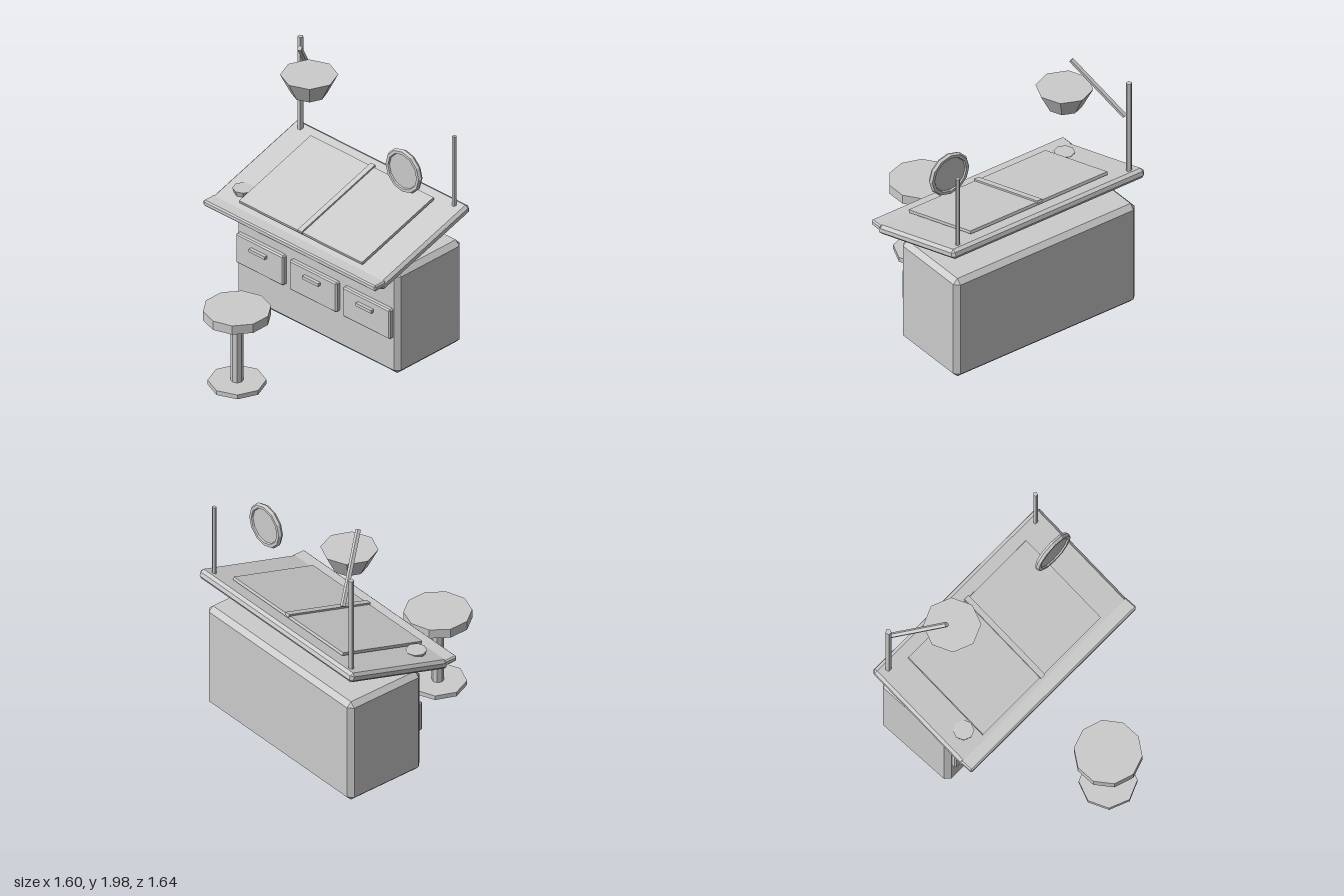
import * as THREE from 'three';
import { ConvexGeometry } from 'three/addons/geometries/ConvexGeometry.js';

const TILT = 0.3;

export function createModel() {
  const model = new THREE.Group();
  model.name = 'draftingDesk';
  const grey = new THREE.MeshStandardMaterial({ color: 0xcccccc, flatShading: true });

  function add(name, geometry, x, y, z, parent = model) {
    const mesh = new THREE.Mesh(geometry, grey);
    mesh.name = name;
    mesh.position.set(x, y, z);
    parent.add(mesh);
    return mesh;
  }

  // Box with every edge chamfered by b
  function chamferBox(w, h, d, b) {
    const points = [];
    for (const sx of [-1, 1]) for (const sy of [-1, 1]) for (const sz of [-1, 1]) {
      for (let axis = 0; axis < 3; axis++) {
        const [x, y, z] = [w, h, d].map((size, i) => size / 2 - (i === axis ? 0 : b));
        points.push(new THREE.Vector3(sx * x, sy * y, sz * z));
      }
    }
    return new ConvexGeometry(points);
  }

  // Faceted cylinder between two heights, with a vertex pointing backwards
  function column(name, rTop, rBottom, y0, y1, sides, x, z, parent) {
    const geometry = new THREE.CylinderGeometry(rTop, rBottom, y1 - y0, sides);
    geometry.rotateY(Math.PI);
    return add(name, geometry, x, (y0 + y1) / 2, z, parent);
  }

  // Cabinet with three drawers
  add('cabinet', chamferBox(1.51, 0.795, 0.625, 0.035), 0, 0.4675, -0.4775);
  for (const x of [-0.495, 0, 0.495]) {
    const drawer = new THREE.Group();
    drawer.name = 'drawer';
    drawer.position.set(x, 0.467, -0.155);
    model.add(drawer);
    add('drawerFront', chamferBox(0.44, 0.23, 0.05, 0.01), 0, 0, 0, drawer);
    add('drawerHandle', new THREE.BoxGeometry(0.146, 0.024, 0.04), 0, 0.051, 0.03, drawer);
  }

  // Sloping top with drawing sheet, centre strip and front ledge
  const top = add('deskTop', chamferBox(1.6, 0.07, 0.88, 0.02), 0, 0.988, -0.395);
  const sheet = add('drawingSheet', new THREE.BoxGeometry(1.14, 0.022, 0.715), 0, 1.04, -0.36);
  const strip = add('centreStrip', new THREE.BoxGeometry(0.04, 0.02, 0.735), 0, 1.054, -0.359);
  for (const part of [top, sheet, strip]) part.rotation.x = TILT;
  add('frontLedge', chamferBox(1.6, 0.044, 0.105, 0.01), 0, 0.879, 0.043);
  column('cup', 0.072, 0.055, 0.915, 0.966, 8, -0.642, -0.127);

  // Posts
  column('lampPost', 0.021, 0.021, 1.05, 1.845, 5, -0.713, -0.748);
  column('mirrorPost', 0.016, 0.016, 1.05, 1.67, 5, 0.713, -0.75);

  // Lamp arm
  const from = new THREE.Vector3(-0.66, 1.615, -0.775);
  const to = new THREE.Vector3(-0.447, 1.987, -0.465);
  const along = to.clone().sub(from);
  const mid = from.clone().add(to).multiplyScalar(0.5);
  const arm = add('lampArm', new THREE.CylinderGeometry(0.019, 0.019, along.length(), 5), mid.x, mid.y, mid.z);
  arm.quaternion.setFromUnitVectors(new THREE.Vector3(0, 1, 0), along.normalize());

  // Lamp shade and bulb
  column('lampShade', 0.194, 0.12, 1.66, 1.805, 8, -0.375, -0.483);
  add('bulb', new THREE.SphereGeometry(0.063, 8, 4), -0.375, 1.66, -0.483);

  // Round mirror
  const mirror = new THREE.Group();
  mirror.name = 'mirror';
  mirror.position.set(0.55, 1.467, -0.437);
  model.add(mirror);
  add('mirrorRim', new THREE.TorusGeometry(0.143, 0.021, 6, 12), 0, 0, 0, mirror);
  const glass = new THREE.CylinderGeometry(0.13, 0.13, 0.016, 12);
  add('mirrorGlass', glass.rotateX(Math.PI / 2), 0, 0, 0, mirror);

  // Stool
  const stool = new THREE.Group();
  stool.name = 'stool';
  stool.position.z = 0.59;
  model.add(stool);
  column('seat', 0.23, 0.23, 0.543, 0.611, 10, 0, 0, stool);
  column('stoolColumn', 0.042, 0.042, 0.05, 0.55, 8, 0, 0, stool);
  column('stoolBase', 0.196, 0.196, 0.022, 0.055, 8, 0, 0, stool);

  return model;
}
